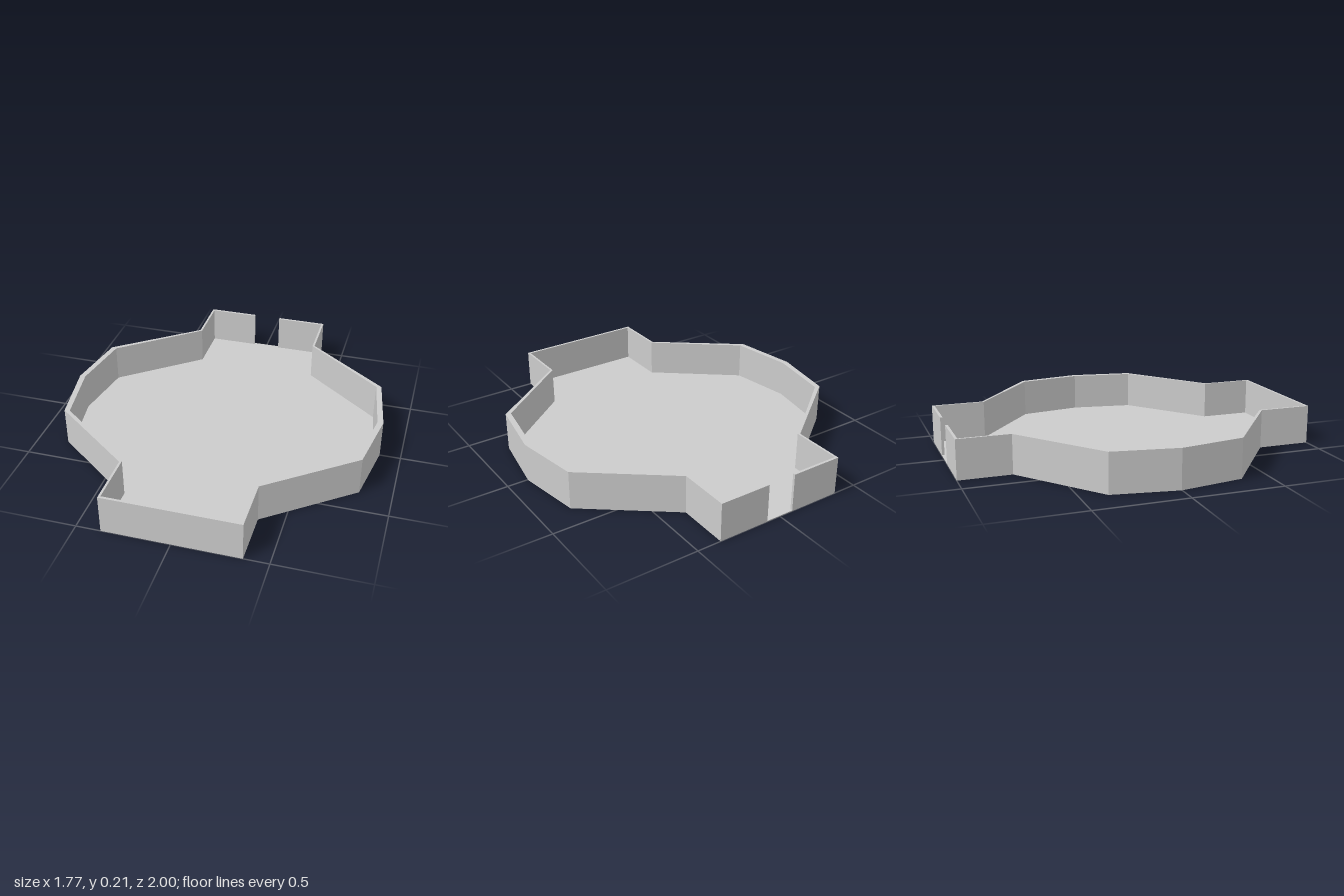
import * as THREE from 'three';

const HEIGHT = 0.215, FLOOR = 0.004, DOOR = 0.08;

// Right half of the plan from front to back, as [x, z]
const outer = [[0.367, 1], [0.367, 0.705], [0.826, 0.352], [0.885, -0.003], [0.826, -0.358], [0.367, -0.712], [0.367, -1]];
const inner = [[0.355, 0.986], [0.355, 0.698], [0.797, 0.346], [0.853, -0.003], [0.797, -0.352], [0.355, -0.706], [0.355, -0.986]];

// Full run around the plan, from the back on one side to the back on the other
const around = (half) => [...half.map(([x, z]) => [-x, z]).reverse(), ...half];

// Extrude a plan outline upwards from y = bottom
function slab(name, points, bottom, top, material) {
  const shape = new THREE.Shape(points.map(([x, z]) => new THREE.Vector2(x, -z)));
  const geometry = new THREE.ExtrudeGeometry(shape, { depth: top - bottom, bevelEnabled: false });
  geometry.rotateX(-Math.PI / 2).translate(0, bottom, 0);
  const mesh = new THREE.Mesh(geometry, material);
  mesh.name = name;
  return mesh;
}

export function createModel() {
  const group = new THREE.Group();
  group.name = 'walledRoom';
  const material = new THREE.MeshStandardMaterial({ color: 0xcccccc, flatShading: true });

  // Floor runs under the walls and out through the doorway
  group.add(slab('floor', around(outer), 0, FLOOR, material));

  // One continuous thin wall, left open at the doorway in the back
  const wall = [
    [-DOOR, -1], ...around(outer), [DOOR, -1],
    [DOOR, -0.986], ...around(inner).reverse(), [-DOOR, -0.986],
  ];
  group.add(slab('wall', wall, FLOOR, HEIGHT, material));
  return group;
}
